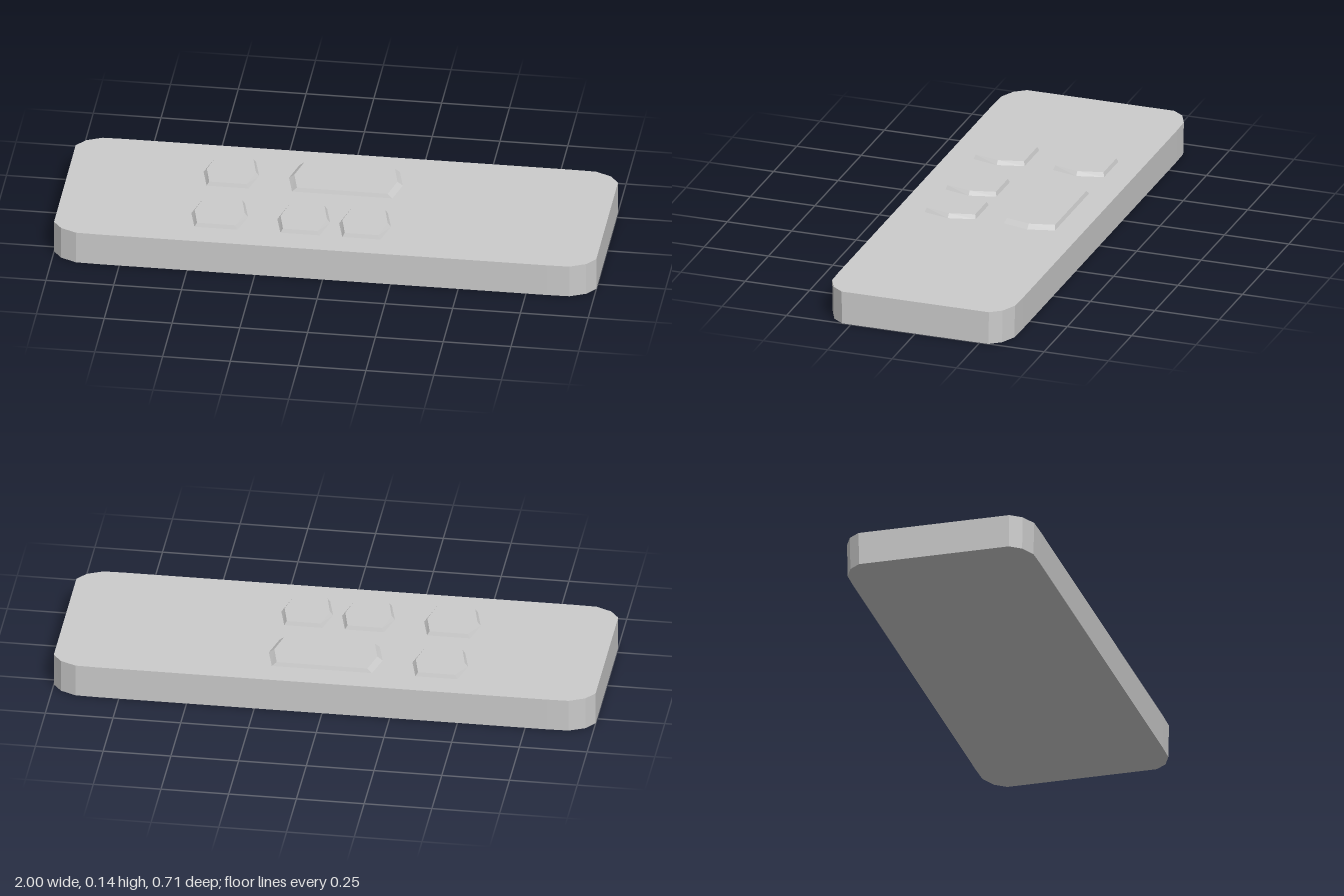
import * as THREE from 'three';

const material = new THREE.MeshStandardMaterial({ color: 0xcccccc, flatShading: true });

// Upright prism from an [x, z] outline, with its top or bottom ring scaled
function prism(name, outline, height, topScale = [1, 1], bottomScale = [1, 1]) {
  const shape = new THREE.Shape(outline.map(([x, z]) => new THREE.Vector2(x, -z)));
  const geometry = new THREE.ExtrudeGeometry(shape, { depth: height, bevelEnabled: false });
  geometry.rotateX(-Math.PI / 2);
  const p = geometry.attributes.position;
  for (let i = 0; i < p.count; i++) {
    const [sx, sz] = p.getY(i) > height / 2 ? topScale : bottomScale;
    p.setX(i, p.getX(i) * sx);
    p.setZ(i, p.getZ(i) * sz);
  }
  geometry.computeVertexNormals();
  const mesh = new THREE.Mesh(geometry, material);
  mesh.name = name;
  return mesh;
}

const BODY_HEIGHT = 0.126;
const KEY_HEIGHT = 0.015;

// Raised six-sided key with pointed ends and sloping sides
function makeKey({ name, x0, x1, z, inset }) {
  const w = (x1 - x0) / 2, d = 0.099, tip = 0.025;
  const outline = [[w, 0], [w - tip, -d], [tip - w, -d], [-w, 0], [tip - w, d], [w - tip, d]];
  const key = prism(name, outline, KEY_HEIGHT, [1 - inset / w, 0.95]);
  key.position.set((x0 + x1) / 2, BODY_HEIGHT, z);
  return key;
}

export function createModel() {
  const group = new THREE.Group();
  group.name = 'keyPanel';

  // Slab with faceted corners, mirrored from one quarter outline
  const quarter = [[1, 0.286], [0.968, 0.328], [0.91, 0.355], [0.83, 0.357]];
  const half = [...quarter, ...quarter.map(([x, z]) => [-x, z]).reverse()];
  const outline = [...half, ...half.map(([x, z]) => [-x, -z])];
  group.add(prism('body', outline, BODY_HEIGHT, [1, 1], [1, 0.993]));

  // Keys in two rows
  const keys = [
    { name: 'backLeftKey', x0: -0.51, x1: -0.305, z: -0.155, inset: 0.012 },
    { name: 'wideKey', x0: -0.195, x1: 0.225, z: -0.155, inset: 0.02 },
    { name: 'frontLeftKey', x0: -0.512, x1: -0.303, z: 0.153, inset: 0.012 },
    { name: 'frontMiddleKey', x0: -0.195, x1: 0, z: 0.153, inset: 0.012 },
    { name: 'frontRightKey', x0: 0.033, x1: 0.224, z: 0.153, inset: 0.012 },
  ];
  for (const key of keys) group.add(makeKey(key));

  return group;
}
